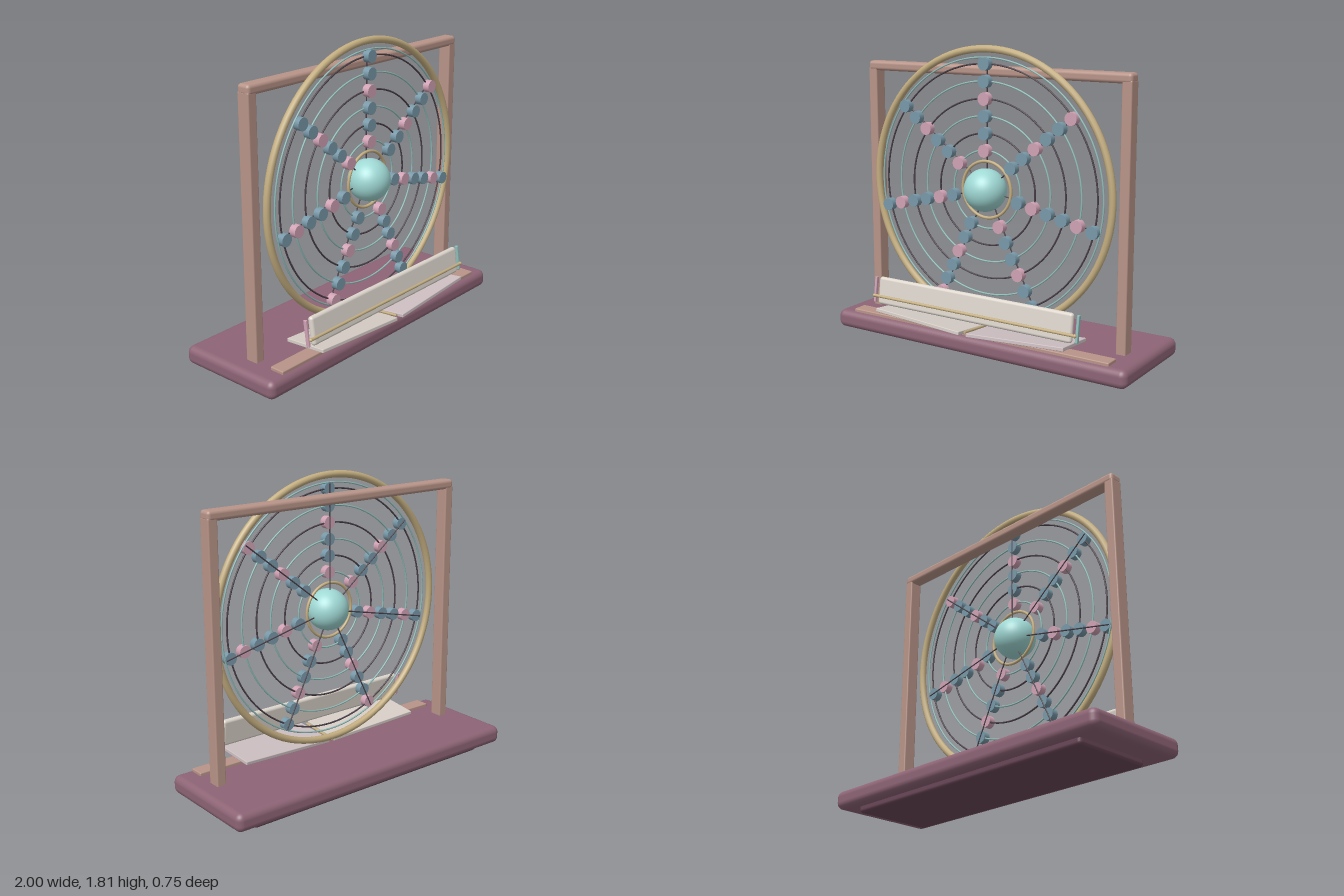
import * as THREE from 'three';
import { RoundedBoxGeometry } from 'three/addons/geometries/RoundedBoxGeometry.js';

const mat = (color) => new THREE.MeshStandardMaterial({ color });
const M = {
  base: mat(0x8d6475), foot: mat(0x6a4757), wood: mat(0xb89488), gold: mat(0xc4ae80),
  aqua: mat(0x9fd8d4), blue: mat(0x7898a8), pink: mat(0xd0a2b4), teal: mat(0x8fbcb8),
  dark: mat(0x4a4048), cream: mat(0xdcd5cc), pageLeft: mat(0xcdbfc2), pageRight: mat(0xd5ccc5),
};

export function createModel() {
  const model = new THREE.Group();
  model.name = 'orbitAbacus';

  const add = (name, geometry, material, x, y, z, parent = model) => {
    const mesh = new THREE.Mesh(geometry, material);
    mesh.name = name;
    mesh.position.set(x, y, z);
    parent.add(mesh);
    return mesh;
  };
  const rbox = (w, h, d, r) => new RoundedBoxGeometry(w, h, d, 4, r);

  // Plinth and the recessed foot below it
  add('base', rbox(2, 0.11, 0.68, 0.04), M.base, 0, 0.092, -0.035);
  add('foot', rbox(1.7, 0.08, 0.5, 0.02), M.foot, 0, 0.04, -0.06);
  add('ledge', rbox(1.77, 0.03, 0.093, 0.006), M.wood, 0, 0.15, 0.228);

  // Frame
  for (const s of [1, -1]) {
    add(s > 0 ? 'leftPost' : 'rightPost', rbox(0.06, 1.52, 0.08, 0.008), M.wood, s * 0.857, 0.89, 0.04);
  }
  add('topBar', rbox(1.775, 0.058, 0.085, 0.02), M.wood, 0, 1.661, 0.04);

  // Wheel: rim, hub and concentric tracks
  const wheel = new THREE.Group();
  wheel.name = 'wheel';
  wheel.position.set(0, 0.987, 0.103);
  model.add(wheel);
  const ring = (name, r, tube, material, z) =>
    add(name, new THREE.TorusGeometry(r, tube, 10, 96), material, 0, 0, z, wheel);
  ring('rim', 0.802, 0.021, M.gold, 0);
  ring('innerRim', 0.755, 0.005, M.teal, 0.012);
  ring('hubRing', 0.165, 0.009, M.gold, 0.012);
  add('hubSphere', new THREE.SphereGeometry(0.125, 40, 28), M.aqua, 0, 0, 0.026, wheel);

  const tracks = 6, spokes = 7;
  const trackRadius = (i) => 0.227 + i * 0.0985;
  for (let i = 0; i < tracks; i++) {
    ring('track', trackRadius(i), 0.005, i % 2 ? M.dark : M.teal, 0.012);
  }

  // Spokes carrying disc beads, every third one pink
  const beadGeo = new THREE.CylinderGeometry(0.037, 0.037, 0.042, 28).rotateX(Math.PI / 2);
  const spokeGeo = new THREE.CylinderGeometry(0.004, 0.004, 0.65, 8);
  for (let s = 0; s < spokes; s++) {
    const spoke = new THREE.Group();
    spoke.name = 'spoke';
    spoke.rotation.z = -s * 2 * Math.PI / spokes;
    wheel.add(spoke);
    add('spokeRod', spokeGeo, M.dark, 0, 0.425, 0.004, spoke);
    for (let i = 0; i < tracks; i++) {
      add('bead', beadGeo, (s + i) % 3 === 0 ? M.pink : M.blue, 0, trackRadius(i), 0.025, spoke);
    }
  }

  // Leaning bar with its gold strip and coloured end tabs
  const bar = new THREE.Group();
  bar.name = 'leaningBar';
  bar.position.set(0, 0.322, 0.281);
  bar.rotation.x = -0.14;
  model.add(bar);
  add('barBody', rbox(1.34, 0.167, 0.036, 0.017), M.cream, 0, 0, 0, bar);
  add('barStrip', new THREE.CylinderGeometry(0.009, 0.009, 1.39, 16).rotateZ(Math.PI / 2),
    M.gold, 0, -0.035, 0.02, bar);
  for (const s of [1, -1]) {
    add('endTab', rbox(0.016, 0.155, 0.022, 0.004), s > 0 ? M.teal : M.pink, s * 0.7, 0, 0, bar);
    add('stripKnob', new THREE.SphereGeometry(0.011, 16, 12), M.gold, s * 0.695, -0.035, 0.02, bar);
  }

  // Open pages rising to the sides, with the spine between them
  for (const s of [1, -1]) {
    const page = add(s > 0 ? 'leftPage' : 'rightPage', rbox(0.625, 0.022, 0.28, 0.004),
      s > 0 ? M.pageLeft : M.pageRight, s * 0.333, 0.19, 0.222);
    page.rotation.set(-0.09, s * 0.03, s * 0.05);
  }
  const spine = add('spine', new THREE.CylinderGeometry(0.008, 0.008, 0.26, 12).rotateX(Math.PI / 2),
    M.gold, 0, 0.182, 0.215);
  spine.rotation.x = -0.09;

  return model;
}
